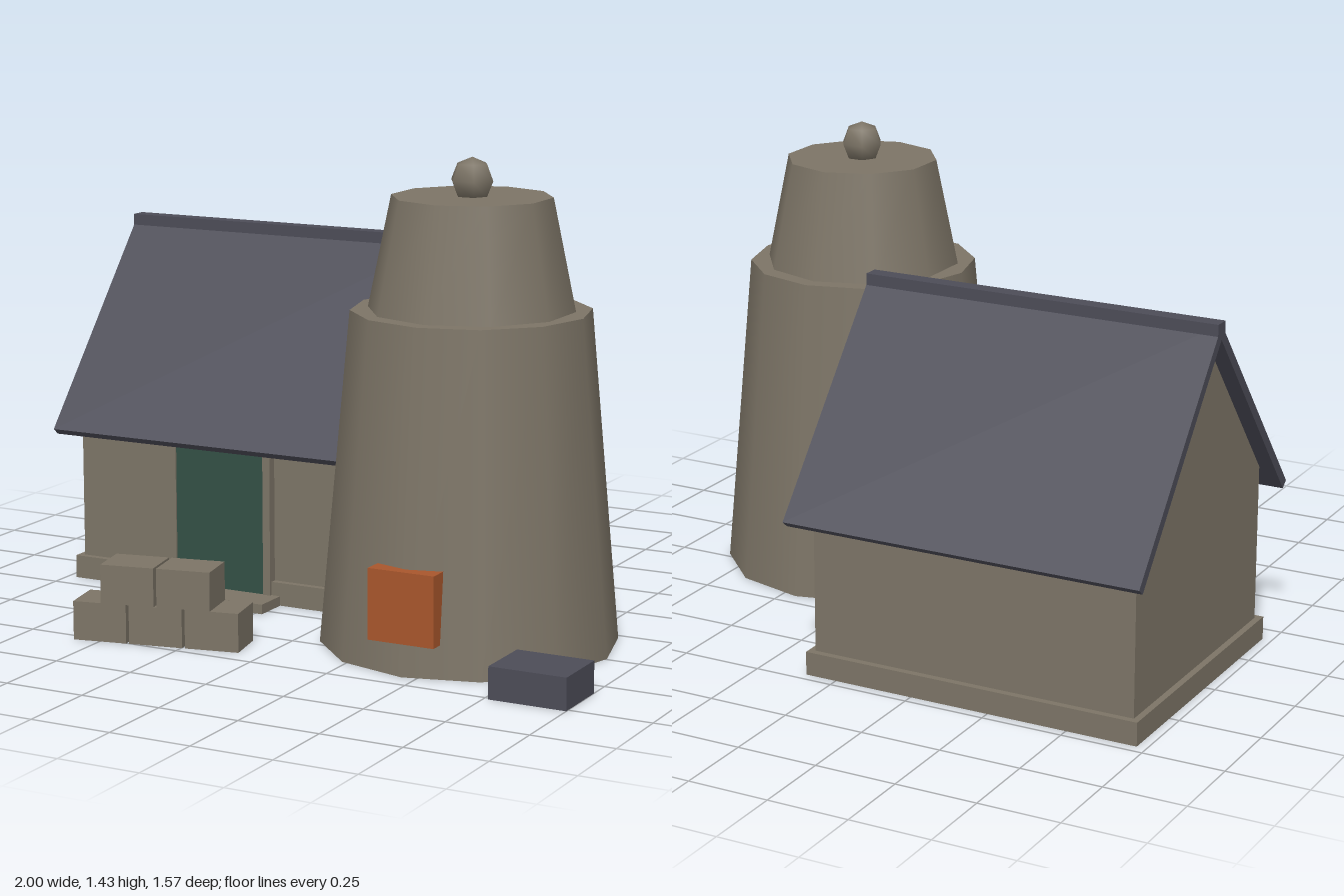
import * as THREE from 'three';

const mat = (name, color) => {
  const m = new THREE.MeshStandardMaterial({ color });
  m.name = name;
  return m;
};

export function createModel() {
  const stone = mat('stone', 0x7c7466);
  const slate = mat('slate', 0x4c4c57);
  const green = mat('door green', 0x335045);
  const orange = mat('furnace orange', 0xa8562c);

  const model = new THREE.Group();
  model.name = 'kilnAndShed';

  const add = (parent, name, geometry, material, x, y, z) => {
    const mesh = new THREE.Mesh(geometry, material);
    mesh.name = name;
    mesh.position.set(x, y, z);
    parent.add(mesh);
    return mesh;
  };
  // Box given by its lower and upper limits on each axis
  const box = (parent, name, material, [x0, x1], [y0, y1], [z0, z1]) =>
    add(parent, name, new THREE.BoxGeometry(x1 - x0, y1 - y0, z1 - z0), material,
      (x0 + x1) / 2, (y0 + y1) / 2, (z0 + z1) / 2);
  // Cross-section (depth, height) swept along x and centred on it
  const sweep = (points, length) => {
    const shape = new THREE.Shape(points.map(([u, v]) => new THREE.Vector2(u, v)));
    return new THREE.ExtrudeGeometry(shape, { depth: length, bevelEnabled: false })
      .translate(0, 0, -length / 2)
      .rotateY(Math.PI / 2);
  };

  // House
  const house = new THREE.Group();
  house.name = 'house';
  model.add(house);
  const hx = -0.435, hz = -0.272;
  const apex = 1.065, slope = 1.2, half = 0.426, over = 0.493;
  const eave = apex - slope * half;
  const low = apex - slope * over;

  box(house, 'plinth', stone, [hx - 0.535, hx + 0.535], [0, 0.072], [hz - 0.447, hz + 0.447]);
  add(house, 'walls',
    sweep([[-half, 0], [half, 0], [half, eave], [0, apex], [-half, eave]], 1.03),
    stone, hx, 0, hz);

  // Roof: both slopes as one folded sheet, with a ridge cap
  const nx = 0.023, ny = 0.019;
  add(house, 'roof', sweep([
    [-over, low], [0, apex], [over, low],
    [over + nx, low + ny], [0, apex + 0.045], [-over - nx, low + ny],
  ], 1.13), slate, hx, 0, hz);
  box(house, 'ridgeCap', slate, [hx - 0.565, hx + 0.565], [1.07, 1.115], [hz - 0.025, hz + 0.025]);

  // Doorway
  const front = hz + half;
  box(house, 'door', green, [hx - 0.155, hx + 0.155], [0.03, 0.49], [front, front + 0.025]);
  for (const s of [-1, 1]) {
    const xs = [hx + s * 0.155, hx + s * 0.18].sort((a, b) => a - b);
    box(house, 'doorPost', stone, xs, [0.03, 0.51], [front, front + 0.03]);
  }
  box(house, 'doorLintel', stone, [hx - 0.155, hx + 0.155], [0.49, 0.51], [front, front + 0.03]);
  box(house, 'doorStep', stone, [hx - 0.21, hx + 0.21], [0, 0.03], [front, 0.288]);

  // Kiln tower
  const tower = new THREE.Group();
  tower.name = 'tower';
  tower.position.set(0.455, 0, 0.243);
  model.add(tower);
  add(tower, 'towerBody', new THREE.CylinderGeometry(0.353, 0.442, 0.99, 12), stone, 0, 0.495, 0);
  add(tower, 'towerNeck', new THREE.CylinderGeometry(0.236, 0.304, 0.33, 10), stone, 0, 1.155, 0);
  add(tower, 'finial', new THREE.SphereGeometry(0.067, 6, 4), stone, 0, 1.366, 0);
  box(tower, 'stokeHole', orange, [-0.104, 0.104], [0.098, 0.308], [0.3, 0.447]);

  // Slate block beside the tower
  box(model, 'slateBlock', slate, [0.764, 1], [0, 0.095], [0.574, 0.762]);

  // Stacked stone blocks: three below, two above
  const pile = new THREE.Group();
  pile.name = 'blockPile';
  pile.position.set(-0.342, 0, 0.669);
  pile.rotation.y = 0.2;
  model.add(pile);
  const pitch = 0.174, h = 0.117;
  [3, 2].forEach((count, row) => {
    for (let i = 0; i < count; i++) {
      add(pile, 'pileBlock', new THREE.BoxGeometry(0.165, h, 0.136), stone,
        (i - (count - 1) / 2) * pitch, h * (row + 0.5), 0);
    }
  });

  return model;
}
